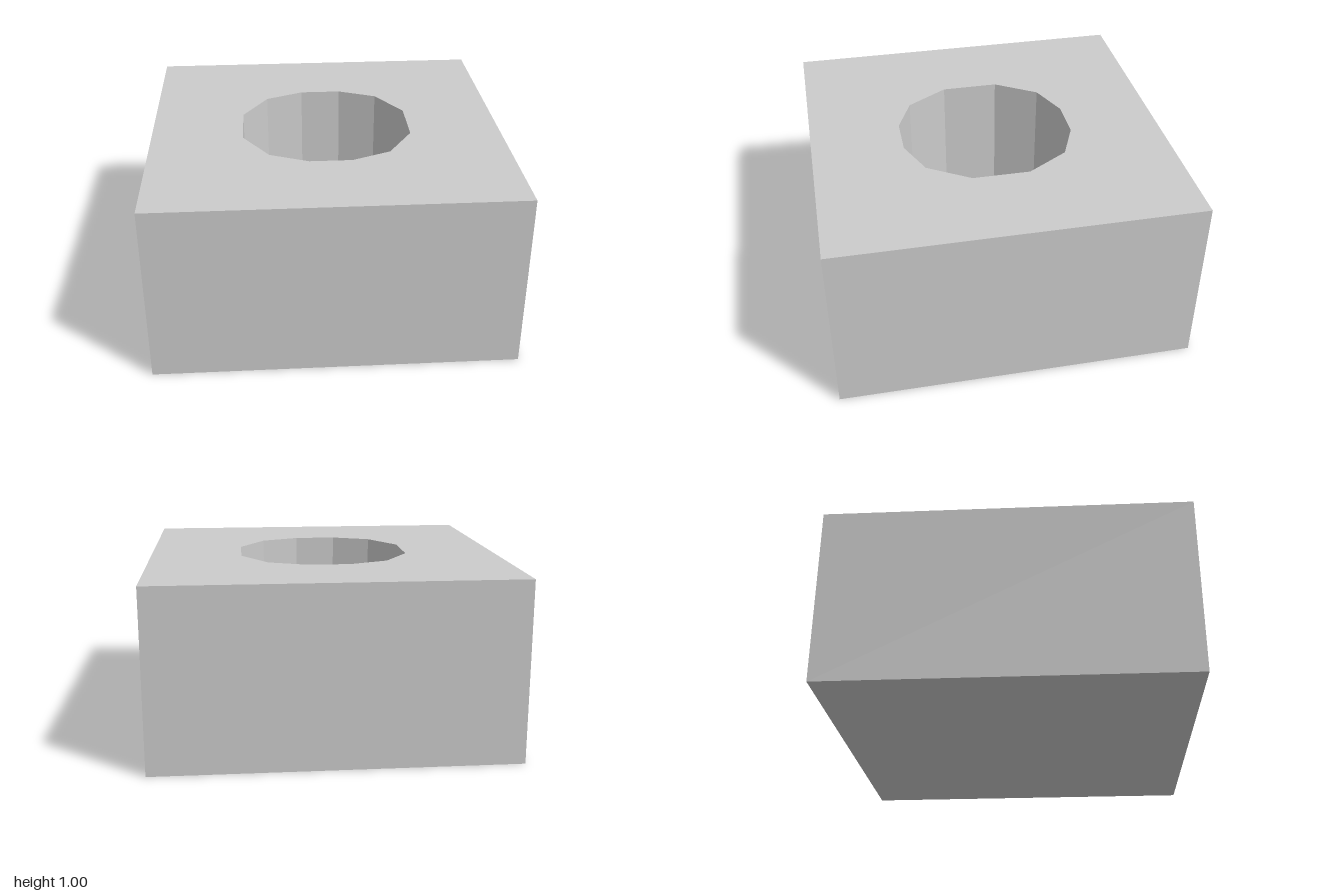
import * as THREE from 'three';

const HEIGHT = 1, FLOOR = 0.2;

// Twelve-sided hole outline, mirrored from one quadrant
function holeOutline() {
  const quarter = [[0.48, 0.16], [0.335, 0.393], [0.118, 0.486]];
  const half = [...quarter, ...quarter.map(([x, z]) => [-x, z]).reverse()];
  return [...half, ...half.map(([x, z]) => [-x, -z])].map(([x, z]) => new THREE.Vector2(x, z));
}

// Flat shape laid level at height y, facing up
function levelFace(shape, y) {
  return new THREE.ShapeGeometry(shape).rotateX(-Math.PI / 2).translate(0, y, 0);
}

// Inward-facing walls between two heights
function wellWalls(ring, bottom, top) {
  const pos = [];
  ring.forEach((a, i) => {
    const b = ring[(i + 1) % ring.length];
    pos.push(a.x, top, a.y, a.x, bottom, a.y, b.x, bottom, b.y);
    pos.push(a.x, top, a.y, b.x, bottom, b.y, b.x, top, b.y);
  });
  const geometry = new THREE.BufferGeometry();
  geometry.setAttribute('position', new THREE.Float32BufferAttribute(pos, 3));
  geometry.computeVertexNormals();
  return geometry;
}

export function createModel() {
  const group = new THREE.Group();
  group.name = 'blockWithHole';
  const material = new THREE.MeshStandardMaterial({ color: 0xcccccc, flatShading: true });
  const add = (name, geometry) => {
    const mesh = new THREE.Mesh(geometry, material);
    mesh.name = name;
    group.add(mesh);
  };
  const ring = holeOutline();

  // Outer sides and underside: a box without its top face
  const box = new THREE.BoxGeometry(2, HEIGHT, 2).translate(0, HEIGHT / 2, 0);
  const index = Array.from(box.index.array);
  index.splice(12, 6);
  box.setIndex(index);
  box.clearGroups();
  add('blockSides', box);

  // Top face with the hole cut out
  const top = new THREE.Shape([[-1, -1], [1, -1], [1, 1], [-1, 1]].map(([x, z]) => new THREE.Vector2(x, z)));
  top.holes.push(new THREE.Path(ring));
  add('topFace', levelFace(top, HEIGHT));

  // Blind hole
  add('holeWalls', wellWalls(ring, FLOOR, HEIGHT));
  add('holeFloor', levelFace(new THREE.Shape(ring), FLOOR));

  return group;
}
